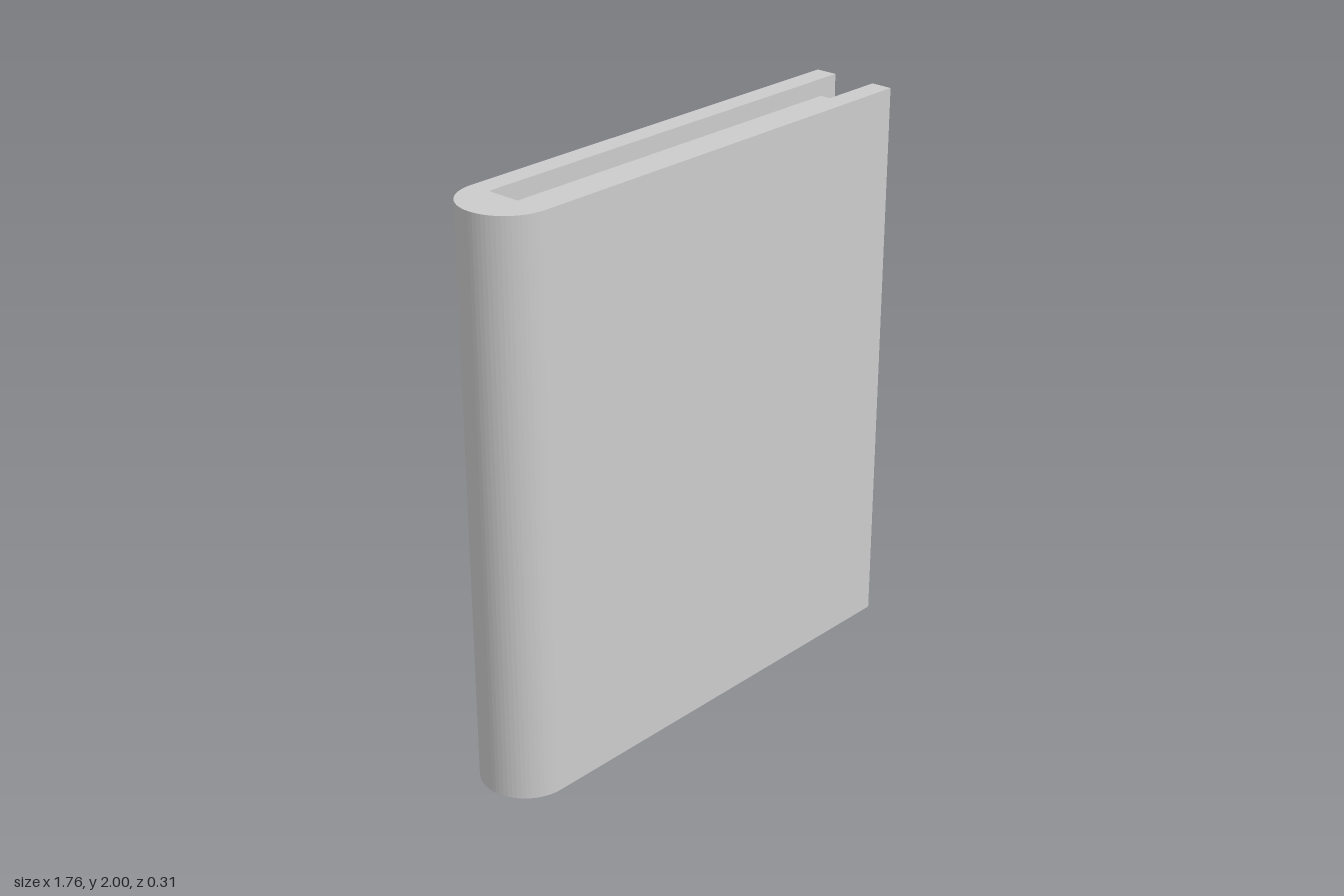
import * as THREE from 'three';

const material = new THREE.MeshStandardMaterial({ color: 0xcccccc });

const HEIGHT = 2;
const EDGE = 0.88;      // half of the overall width
const HALF = 0.157;     // half of the overall thickness
const INNER = 0.08;     // half of the page thickness
const HINGE = HALF - EDGE; // x where the round spine meets the covers

// Box given by its x, y and z ranges
function block(name, [x0, x1], [y0, y1], [z0, z1]) {
  const mesh = new THREE.Mesh(new THREE.BoxGeometry(x1 - x0, y1 - y0, z1 - z0), material);
  mesh.position.set((x0 + x1) / 2, (y0 + y1) / 2, (z0 + z1) / 2);
  mesh.name = name;
  return mesh;
}

export function createModel() {
  const book = new THREE.Group();
  book.name = 'book';

  // Front and back boards
  book.add(block('frontCover', [HINGE, EDGE], [0, HEIGHT], [INNER, HALF]));
  book.add(block('backCover', [HINGE, EDGE], [0, HEIGHT], [-HALF, -INNER]));

  // Page block, set in from the three open edges
  book.add(block('pages', [HINGE, 0.805], [0.06, HEIGHT - 0.06], [-INNER, INNER]));

  // Half-round spine, standing upright
  const halfDisc = new THREE.Shape();
  halfDisc.absarc(0, 0, HALF, Math.PI / 2, Math.PI * 1.5, false);
  halfDisc.closePath();
  const spineGeometry = new THREE.ExtrudeGeometry(halfDisc, {
    depth: HEIGHT, bevelEnabled: false, curveSegments: 16,
  });
  spineGeometry.rotateX(-Math.PI / 2);
  const spine = new THREE.Mesh(spineGeometry, material);
  spine.position.x = HINGE;
  spine.name = 'spine';
  book.add(spine);

  return book;
}
